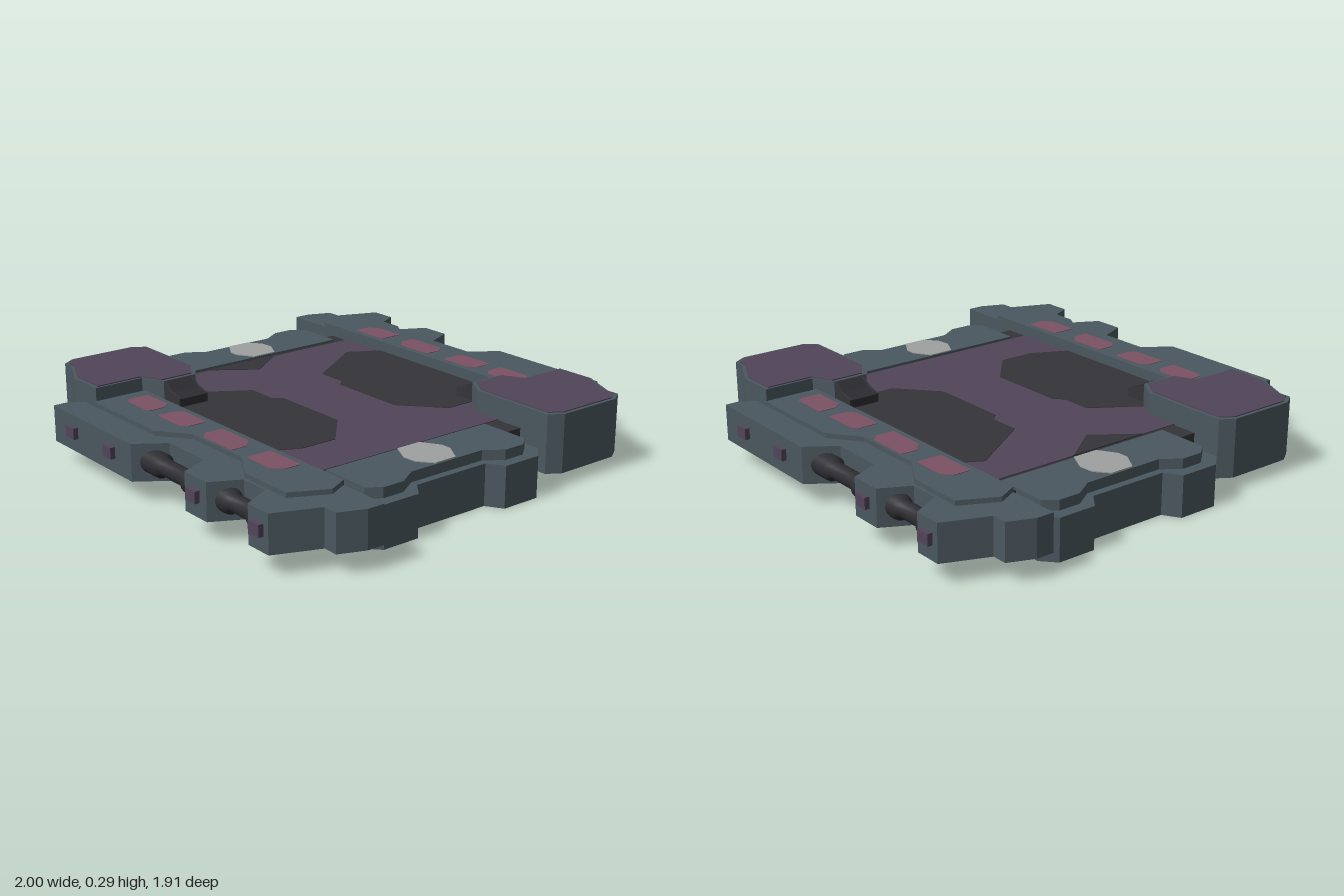
import * as THREE from 'three';

// All hulls are open underneath, so every material is double sided
const mat = (name, color) => {
  const m = new THREE.MeshStandardMaterial({ color, side: THREE.DoubleSide });
  m.name = name;
  return m;
};

export function createModel() {
  const slate = mat('slate', 0x4b585f);
  const purple = mat('purple', 0x514459);
  const pink = mat('dusty pink', 0x7b5263);
  const dark = mat('charcoal', 0x353438);
  const pipeDark = mat('pipe black', 0x2d2c31);
  const pale = mat('pale grey', 0x9fa1a0);

  const mesh = (parent, name, geo, material) => {
    const m = new THREE.Mesh(geo, material);
    m.name = name;
    parent.add(m);
    return m;
  };
  const toPts = (list) => list.map(([x, z]) => new THREE.Vector2(x, z));
  // Upright slab with a plan outline in x and z, from y0 up to y1
  const slab = (parent, name, outline, y0, y1, material) => {
    const g = new THREE.ExtrudeGeometry(new THREE.Shape(toPts(outline)), { depth: y1 - y0, bevelEnabled: false });
    g.rotateX(Math.PI / 2).translate(0, y1, 0);
    return mesh(parent, name, g, material);
  };
  // The same slab as a hollow hull: the bottom faces are dropped
  const hull = (parent, name, outline, y0, y1, material) => {
    const m = slab(parent, name, outline, y0, y1, material);
    const p = m.geometry.attributes.position;
    const kept = [];
    for (let i = 0; i < p.count; i += 3) {
      if ([0, 1, 2].every((k) => p.getY(i + k) < y0 + 1e-4)) continue;
      for (let k = 0; k < 3; k++) kept.push(p.getX(i + k), p.getY(i + k), p.getZ(i + k));
    }
    m.geometry = new THREE.BufferGeometry();
    m.geometry.setAttribute('position', new THREE.Float32BufferAttribute(kept, 3));
    m.geometry.computeVertexNormals();
    return m;
  };
  const rect = (x0, x1, z0, z1) => [[x0, z0], [x1, z0], [x1, z1], [x0, z1]];
  const shrink = (pts, cx, cz, s) => pts.map(([x, z]) => [cx + (x - cx) * s, cz + (z - cz) * s]);

  // Long beam along the front edge, with pipes, windows and studs
  const makeBeam = () => {
    const g = new THREE.Group();
    hull(g, 'beamBody', [[-0.45, 0.59], [1, 0.59], [1, 0.66], [0.96, 0.76], [0.9, 0.76], [0.83, 0.935],
      [0.72, 0.935], [0.66, 0.82], [0.54, 0.82], [0.48, 0.935], [0.35, 0.935], [0.3, 0.82], [0.08, 0.82],
      [0, 0.935], [-0.56, 0.935], [-0.56, 0.88], [-0.52, 0.82], [-0.45, 0.82]], 0.08, 0.226, slate);
    hull(g, 'beamCap', [[-0.45, 0.59], [0.79, 0.59], [0.83, 0.67], [0.76, 0.81], [0.53, 0.81],
      [0.4, 0.73], [0.1, 0.73], [-0.02, 0.82], [-0.45, 0.82]], 0.22, 0.245, slate);
    // Window panes, each with a corner or two cut: left edge, right edge, then cuts per corner
    [[-0.39, -0.22, [0, 0.03, 0, 0.02]], [-0.155, 0.02, [0.03, 0, 0.02, 0]],
      [0.12, 0.325, [0, 0.04, 0, 0.03]], [0.415, 0.59, [0, 0, 0.035, 0]]].forEach(([a, b, c]) => {
      const [p, q, r, s] = c.map((v) => Math.max(v, 0.006));
      slab(g, 'window', [[a + p, 0.615], [b - q, 0.615], [b, 0.615 + q], [b, 0.72 - r], [b - r, 0.72],
        [a + s, 0.72], [a, 0.72 - s], [a, 0.615 + p]], 0.222, 0.247, pink);
    });
    [-0.41, -0.14, 0.41, 0.775].forEach((x) => {
      mesh(g, 'stud', new THREE.BoxGeometry(0.058, 0.045, 0.04), purple).position.set(x, 0.16, 0.935);
    });
    // One pipe running through the beam, thin where it crosses the two recesses
    const r = 0.047, t = 0.033;
    const profile = [[0, -0.28], [r * 0.8, -0.28], [r, -0.26], [r, 0.1], [t, 0.115], [t, 0.265], [r, 0.28],
      [r, 0.53], [t, 0.545], [t, 0.655], [r, 0.67], [r, 0.8], [r * 0.8, 0.82], [0, 0.82]];
    const pipe = new THREE.LatheGeometry(toPts(profile), 16).rotateZ(-Math.PI / 2);
    mesh(g, 'pipe', pipe, pipeDark).position.set(0, 0.153, 0.862);
    return g;
  };

  // Raised corner pod with an inset lid and a connector to the deck
  const makePod = () => {
    const g = new THREE.Group();
    const o = [[-0.85, 0.33], [-0.48, 0.33], [-0.395, 0.385], [-0.395, 0.535], [-0.485, 0.58], [-0.485, 0.79],
      [-0.65, 0.79], [-0.8, 0.72], [-0.85, 0.72], [-0.885, 0.665], [-0.885, 0.385]];
    hull(g, 'podBody', o, 0.05, 0.285, slate);
    slab(g, 'podLid', shrink(o, -0.65, 0.55, 0.94), 0.283, 0.289, purple);
    // Connector profile in x and y, sloping down to the deck
    const s = new THREE.Shape(toPts([[-0.42, 0.19], [-0.29, 0.19], [-0.29, 0.235], [-0.35, 0.25], [-0.4, 0.282], [-0.42, 0.282]]));
    const block = (name, depth, material, y, z) => {
      const geo = new THREE.ExtrudeGeometry(s, { depth, bevelEnabled: false });
      mesh(g, name, geo, material).position.set(0, y, z);
    };
    block('podConnector', 0.12, pipeDark, 0, 0.405);
    for (const z of [0.4, 0.525]) block('connectorRail', 0.008, dark, 0.003, z);
    return g;
  };

  // Stepped side panel with a pale marking
  const makePanel = () => {
    const g = new THREE.Group();
    hull(g, 'panelBase', [[-0.62, -0.53], [-0.73, -0.53], [-0.73, -0.565], [-0.89, -0.565], [-0.945, -0.515],
      [-0.945, -0.36], [-0.88, -0.31], [-0.88, 0.02], [-0.945, 0.06], [-0.945, 0.225], [-0.89, 0.28],
      [-0.73, 0.28], [-0.73, 0.24], [-0.62, 0.24]], 0, 0.165, slate);
    hull(g, 'panelCap', [[-0.65, -0.53], [-0.86, -0.53], [-0.9, -0.48], [-0.9, -0.39], [-0.85, -0.31],
      [-0.85, 0.03], [-0.9, 0.1], [-0.9, 0.19], [-0.86, 0.24], [-0.65, 0.24]], 0.16, 0.205, slate);
    slab(g, 'panelMarking', [[-0.845, -0.19], [-0.79, -0.235], [-0.73, -0.24], [-0.652, -0.2], [-0.652, -0.095],
      [-0.725, -0.05], [-0.77, -0.05], [-0.845, -0.095]], 0.203, 0.209, pale);
    return g;
  };

  const model = new THREE.Group();
  model.name = 'platform';

  // Deck tray, open underneath, with its plate and dark surface patches
  hull(model, 'deckTray', rect(-0.73, 0.7, -0.6, 0.6), 0.12, 0.195, dark);
  slab(model, 'deckPlate', rect(-0.625, 0.585, -0.6, 0.6), 0.196, 0.2, purple);
  const patch = [[-0.29, 0.18], [-0.16, 0.18], [-0.13, 0.145], [0.21, 0.145], [0.37, 0.285], [0.37, 0.44],
    [0.29, 0.6], [-0.39, 0.6], [-0.47, 0.46]];
  for (const s of [1, -1]) {
    slab(model, 'deckPatch', patch.map(([x, z]) => [x, z * s]), 0.199, 0.202, dark);
  }
  slab(model, 'deckWedge', [[-0.627, -0.18], [-0.505, -0.01], [-0.627, 0.16]], 0.199, 0.202, dark);
  slab(model, 'deckCorner', [[-0.5, 0.53], [-0.4, 0.53], [-0.43, 0.65], [-0.49, 0.65]], 0.196, 0.202, dark);
  slab(model, 'deckCorner', [[0.47, -0.53], [0.4, -0.53], [0.43, -0.65], [0.47, -0.67]], 0.196, 0.202, dark);

  // Everything around the deck repeats after half a turn
  const add = (group, name, turned, x = 0, z = 0) => {
    group.name = name;
    if (turned) group.rotation.y = Math.PI;
    group.position.set(x, 0, z);
    model.add(group);
  };
  add(makeBeam(), 'frontBeam', false);
  add(makeBeam(), 'backBeam', true);
  add(makePod(), 'frontPod', false);
  add(makePod(), 'backPod', true, -0.015, -0.015);
  add(makePanel(), 'rightPanel', false);
  add(makePanel(), 'leftPanel', true, -0.05, -0.015);
  return model;
}
